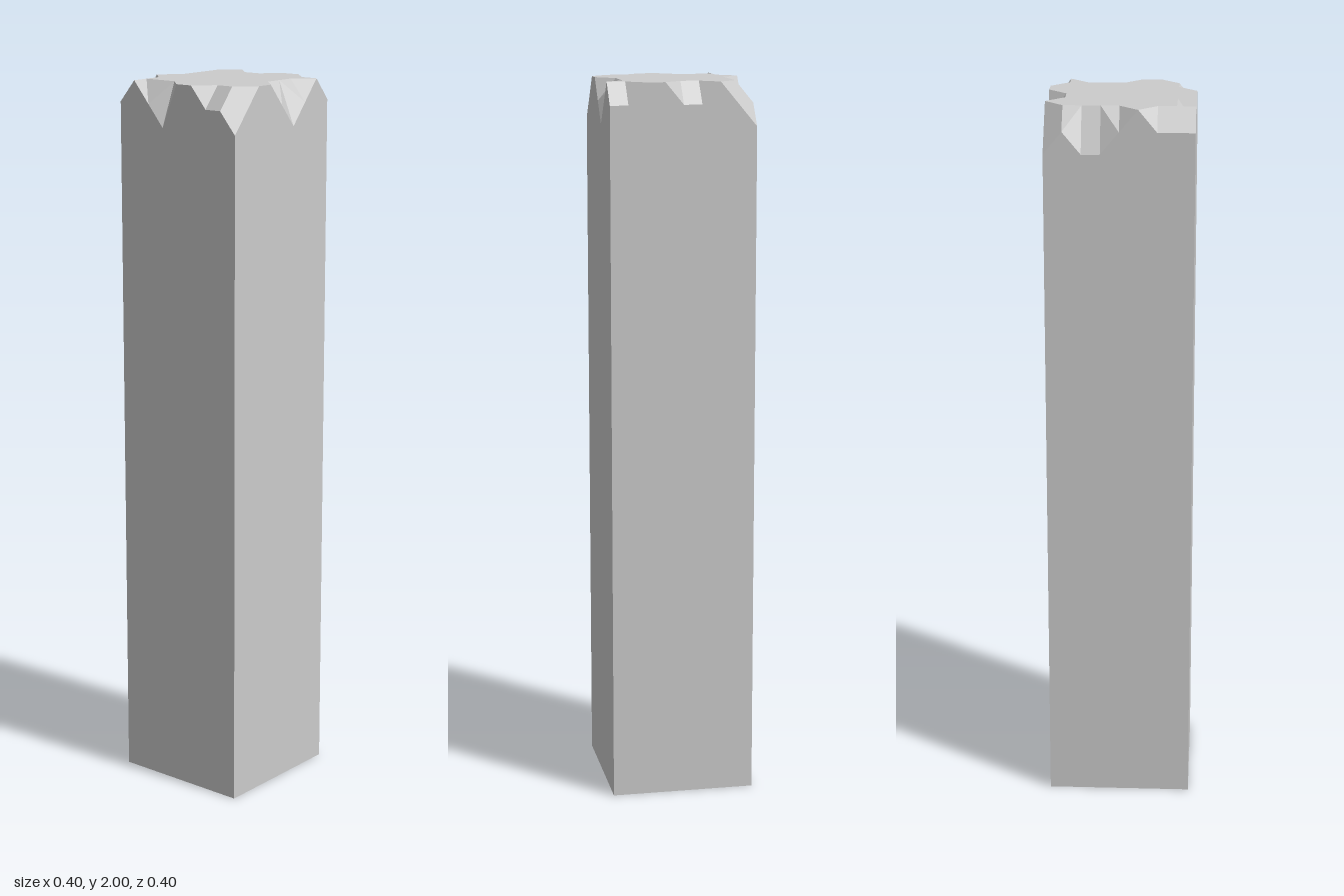
import * as THREE from 'three';

const HALF = 0.2, STEP = 0.05, HEIGHT = 2, NOTCH = 0.06;

// Chip depth (in notches) at each rim point: front, right, back and left side,
// walking counter-clockwise seen from above, starting at the front -x corner.
const CHIPS = '21001210' + '11001101' + '21221011' + '10120011';
const COUNT = CHIPS.length;
const FLIPPED = 25; // the one chip folded the other way

// x and z of a rim point
function rimXZ(i) {
  const t = -HALF + (i % 8) * STEP;
  return [[t, HALF], [HALF, -t], [-t, -HALF], [-HALF, t]][Math.floor(i / 8)];
}

function facetedMesh(name, triangles, material) {
  const geometry = new THREE.BufferGeometry().setFromPoints(triangles.flat());
  geometry.computeVertexNormals();
  const mesh = new THREE.Mesh(geometry, material);
  mesh.name = name;
  return mesh;
}

export function createModel() {
  const group = new THREE.Group();
  group.name = 'chippedPillar';
  const material = new THREE.MeshStandardMaterial({ color: 0xcccccc, flatShading: true });

  // Three rings of points: base, chipped rim, and level inner edge of the top
  const inset = HALF - STEP;
  const clamp = (v) => THREE.MathUtils.clamp(v, -inset, inset);
  const base = [], rim = [], inner = [];
  for (let i = 0; i < COUNT; i++) {
    const [x, z] = rimXZ(i);
    base.push(new THREE.Vector3(x, 0, z));
    rim.push(new THREE.Vector3(x, HEIGHT - CHIPS[i] * NOTCH, z));
    inner.push(new THREE.Vector3(clamp(x), HEIGHT, clamp(z)));
  }

  const shaft = [], chips = [], top = [];
  const topCentre = new THREE.Vector3(0, HEIGHT, 0);
  const baseCentre = new THREE.Vector3();
  for (let i = 0; i < COUNT; i++) {
    const j = (i + 1) % COUNT;

    // Side wall and underside
    shaft.push([base[i], base[j], rim[j]], [base[i], rim[j], rim[i]]);
    shaft.push([base[j], base[i], baseCentre]);

    // Chipped border, folded from the higher rim point
    if (inner[i].equals(inner[j])) {
      chips.push([rim[i], rim[j], inner[i]]);
    } else if (rim[i].y > rim[j].y && i !== FLIPPED) {
      chips.push([rim[i], rim[j], inner[j]], [rim[i], inner[j], inner[i]]);
    } else {
      chips.push([rim[i], rim[j], inner[i]], [rim[j], inner[j], inner[i]]);
    }

    // Level top
    if (!inner[i].equals(inner[j])) top.push([inner[i], inner[j], topCentre]);
  }

  group.add(
    facetedMesh('shaft', shaft, material),
    facetedMesh('chippedRim', chips, material),
    facetedMesh('topFace', top, material),
  );
  return group;
}
